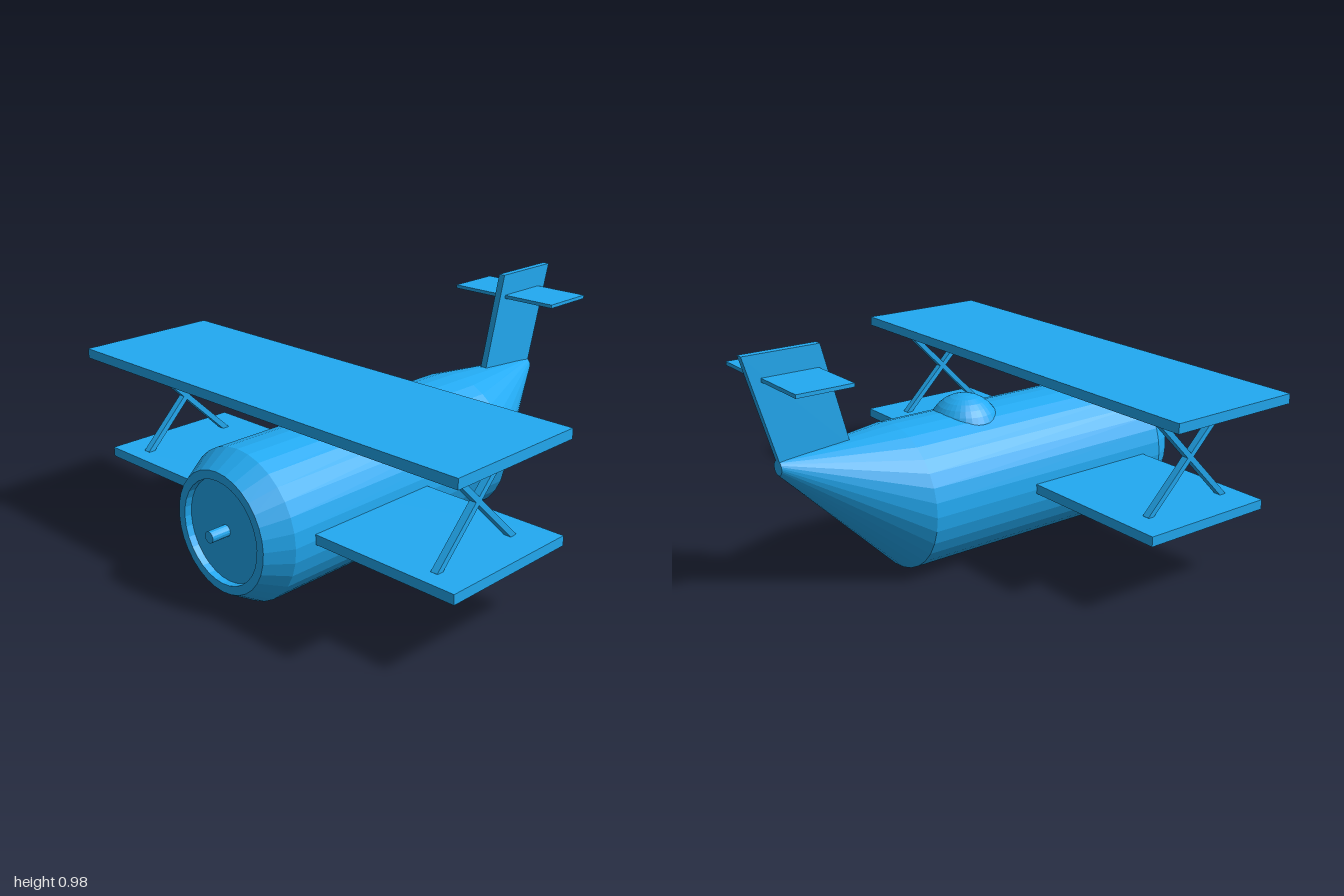
import * as THREE from 'three';

const paint = new THREE.MeshStandardMaterial({ color: 0x22aaf2, flatShading: true });

export function createModel() {
  const plane = new THREE.Group();
  plane.name = 'biplane';

  const add = (name, geometry, x = 0, y = 0, z = 0) => {
    const mesh = new THREE.Mesh(geometry, paint);
    mesh.name = name;
    mesh.position.set(x, y, z);
    plane.add(mesh);
    return mesh;
  };
  const box = (name, w, h, d, x, y, z) => add(name, new THREE.BoxGeometry(w, h, d), x, y, z);

  // Fuselage: turned profile (radius, z) with a recessed nose, laid along z
  const profile = [
    [0, -0.86], [0.03, -0.86], [0.3, -0.35], [0.3, 0.84],
    [0.24, 0.94], [0.205, 0.94], [0.205, 0.91], [0, 0.91],
  ].map(([r, z]) => new THREE.Vector2(r, z));
  const body = new THREE.LatheGeometry(profile, 32).rotateX(Math.PI / 2);

  // Tail cone sweeps upward
  const p = body.attributes.position;
  for (let i = 0; i < p.count; i++) {
    const t = Math.max(0, (-0.35 - p.getZ(i)) / 0.51);
    p.setY(i, p.getY(i) + 0.23 * t);
  }
  body.computeVertexNormals();
  add('fuselage', body, 0, 0.3, 0);

  // Propeller shaft
  add('propellerShaft', new THREE.CylinderGeometry(0.023, 0.023, 0.09, 16).rotateX(Math.PI / 2), 0, 0.3, 0.945);

  // Cockpit dome
  add('cockpitDome', new THREE.SphereGeometry(0.15, 32, 16), 0, 0.51, 0);

  // Wings
  box('upperWing', 2, 0.04, 0.6, 0, 0.74, 0.493);
  box('lowerWing', 1.9, 0.04, 0.6, 0, 0.303, 0.443);

  // Crossed struts between the wings
  for (const side of [-1, 1]) {
    for (const tilt of [-1, 1]) {
      box('wingStrut', 0.03, 0.58, 0.023, side * 0.805, 0.522, 0.465).rotation.x = tilt * Math.PI / 4;
    }
  }

  // Swept tail fin, outline drawn as (-z, y)
  const fin = new THREE.Shape([
    [0.55, 0.555], [0.86, 0.555], [0.99, 0.98], [0.67, 0.98],
  ].map(([a, b]) => new THREE.Vector2(a, b)));
  const finGeometry = new THREE.ExtrudeGeometry(fin, { depth: 0.03, bevelEnabled: false });
  finGeometry.translate(0, 0, -0.015).rotateY(Math.PI / 2);
  add('tailFin', finGeometry);

  // Tailplane through the fin
  box('tailplane', 0.53, 0.015, 0.237, 0, 0.882, -0.797);

  return plane;
}
